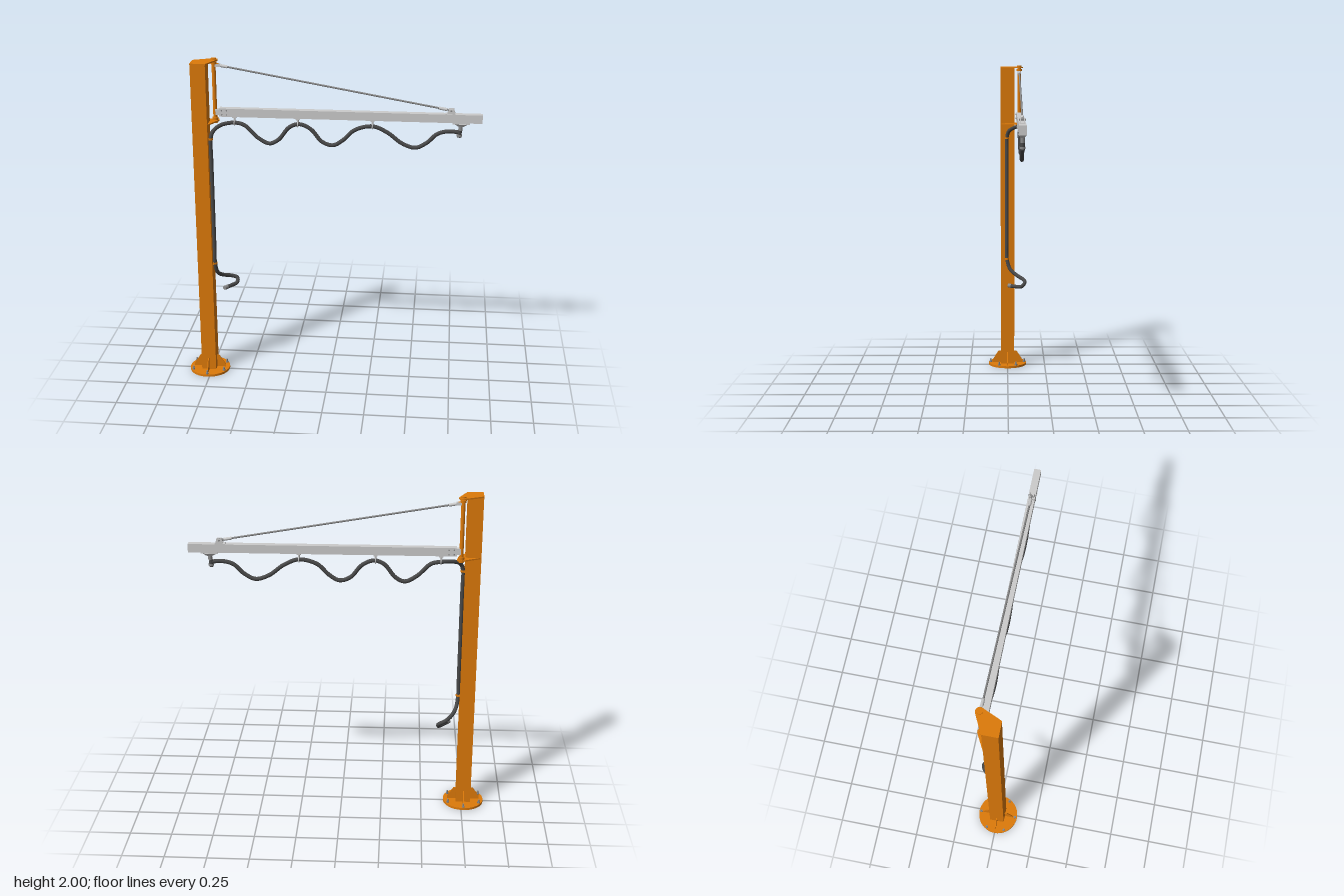
import * as THREE from 'three';

const paint = new THREE.MeshStandardMaterial({ color: 0xdd7a0a });
const steel = new THREE.MeshStandardMaterial({ color: 0xcccccc });
const darkSteel = new THREE.MeshStandardMaterial({ color: 0x888888 });
const rubber = new THREE.MeshStandardMaterial({ color: 0x484848 });

const COL_X = -0.765, COL_W = 0.09, PIVOT_X = -0.692, BOOM_Z = -0.076;

export function createModel() {
  const model = new THREE.Group();

  const add = (name, geo, mat, x = 0, y = 0, z = 0, parent = model) => {
    const m = new THREE.Mesh(geo, mat);
    m.name = name;
    m.position.set(x, y, z);
    parent.add(m);
    return m;
  };
  const box = (name, mat, w, h, d, x, y, z, parent) =>
    add(name, new THREE.BoxGeometry(w, h, d), mat, x, y, z, parent);
  const cyl = (name, mat, r, h, x, y, z, parent, sides = 20) =>
    add(name, new THREE.CylinderGeometry(r, r, h, sides), mat, x, y, z, parent);
  const polygon = pts => new THREE.Shape(pts.map(p => new THREE.Vector2(...p)));
  const extrude = (shape, depth) =>
    new THREE.ExtrudeGeometry(shape, { depth, bevelEnabled: false, curveSegments: 16 });
  // Cylinder between two points
  const rod = (name, mat, r, a, b, sides = 14) => {
    const dir = b.clone().sub(a);
    const m = cyl(name, mat, r, dir.length(), 0, 0, 0, model, sides);
    m.position.copy(a).addScaledVector(dir, 0.5);
    m.quaternion.setFromUnitVectors(new THREE.Vector3(0, 1, 0), dir.normalize());
    return m;
  };
  const v = (x, y, z = BOOM_Z) => new THREE.Vector3(x, y, z);

  // Base plate, gussets and anchor bolts
  const base = new THREE.Group();
  base.name = 'base';
  base.position.set(COL_X, 0, 0);
  model.add(base);
  cyl('basePlate', paint, 0.125, 0.014, 0, 0.007, 0, base, 40);
  const gussetShape = polygon([[0.04, 0.012], [0.1, 0.012], [0.1, 0.03], [0.06, 0.092], [0.04, 0.092]]);
  for (let i = 0; i < 4; i++) {
    const g = new THREE.Group();
    g.rotation.y = i * Math.PI / 2;
    base.add(g);
    add('gusset', extrude(gussetShape, 0.006), paint, 0, 0, -0.003, g);
  }
  for (let i = 0; i < 6; i++) {
    const a = i * Math.PI / 3, x = Math.sin(a) * 0.112, z = Math.cos(a) * 0.112;
    cyl('anchorNut', darkSteel, 0.009, 0.01, x, 0.018, z, base, 6);
    cyl('anchorBolt', darkSteel, 0.005, 0.024, x, 0.025, z, base, 10);
  }

  // Column
  box('column', paint, COL_W, 1.976, COL_W, COL_X, 0.999, 0);

  // Cap and lower bracket plates, reaching out to the pivot
  const plateGeometry = grow => {
    const e = COL_W / 2 + grow;
    const s = new THREE.Shape();
    s.moveTo(COL_X - e, -e);
    s.lineTo(COL_X + e, -e);
    s.lineTo(PIVOT_X + 0.022, -BOOM_Z - 0.012);
    s.absarc(PIVOT_X, -BOOM_Z, 0.025, -0.5, Math.PI / 2 + 0.4, false);
    s.lineTo(COL_X - e, e);
    s.closePath();
    const g = extrude(s, 0.008);
    g.rotateX(-Math.PI / 2);
    return g;
  };
  add('columnCap', plateGeometry(0.001), paint, 0, 1.985, 0);
  add('lowerBracket', plateGeometry(-0.002), paint, 0, 1.619, 0);

  // Pivot post with end collars
  cyl('pivotPost', paint, 0.012, 0.36, PIVOT_X, 1.806, BOOM_Z);
  for (const y of [1.634, 1.972]) cyl('pivotCollar', paint, 0.018, 0.014, PIVOT_X, y, BOOM_Z);
  for (const y of [1.613, 1.996]) cyl('pivotNut', paint, 0.016, 0.008, PIVOT_X, y, BOOM_Z);

  // Hollow boom rail, slotted along the underside
  const w = 0.02, h = 0.05, t = 0.004, slot = 0.008;
  const rail = polygon([
    [-w, 0], [-slot, 0], [-slot, t], [-w + t, t], [-w + t, h - t], [w - t, h - t],
    [w - t, t], [slot, t], [slot, 0], [w, 0], [w, h], [-w, h],
  ]);
  const railGeo = extrude(rail, 1.553);
  railGeo.rotateY(Math.PI / 2);
  add('boomRail', railGeo, steel, -0.665, 1.65, BOOM_Z);
  box('boomEndStop', steel, 0.004, h - 2 * t, 2 * (w - t), 0.882, 1.675, BOOM_Z);
  box('boomHinge', steel, 0.05, 0.036, 0.026, -0.664, 1.675, BOOM_Z);
  for (const x of [-0.65, -0.62])
    for (const y of [1.662, 1.688]) {
      const b = cyl('hingeBolt', darkSteel, 0.004, 0.05, x, y, BOOM_Z, model, 8);
      b.rotation.x = Math.PI / 2;
    }

  // Tie rod with clevis ends
  const a = v(-0.665, 1.958), b = v(0.7, 1.722);
  const along = k => a.clone().lerp(b, k);
  rod('tieRod', darkSteel, 0.0055, a, b);
  rod('upperTurnbuckle', steel, 0.009, along(0.005), along(0.04));
  rod('lowerTurnbuckle', steel, 0.009, along(0.95), along(0.985));
  for (const s of [-1, 1]) {
    box('upperClevis', steel, 0.032, 0.016, 0.004, -0.668, 1.958, BOOM_Z + s * 0.009);
    add('lowerClevis', extrude(polygon([[-0.025, 0], [0.025, 0], [0.015, 0.032], [-0.015, 0.032]]), 0.004),
      steel, 0.705, 1.699, BOOM_Z + s * 0.011 - 0.002);
  }
  box('upperLug', paint, 0.03, 0.02, 0.012, -0.678, 1.958, BOOM_Z);
  box('lowerClevisFoot', steel, 0.06, 0.005, 0.034, 0.7, 1.7015, BOOM_Z);
  cyl('lowerClevisPin', darkSteel, 0.005, 0.036, 0.705, 1.721, BOOM_Z).rotation.x = Math.PI / 2;

  // Hose trolleys
  for (const x of [-0.577, -0.198, 0.245]) {
    box('trolley', steel, 0.024, 0.008, 0.026, x, 1.645, BOOM_Z);
    cyl('trolleyStem', steel, 0.006, 0.03, x, 1.632, BOOM_Z, model, 12);
    const ring = add('hoseClip', new THREE.TorusGeometry(0.0145, 0.003, 8, 20), steel, x, 1.61, BOOM_Z);
    ring.rotation.y = Math.PI / 2;
  }

  // End carriage and outlet elbow
  box('endCarriage', steel, 0.1, 0.008, 0.034, 0.765, 1.646, BOOM_Z);
  add('swivelCone', new THREE.CylinderGeometry(0.046, 0.02, 0.016, 24), steel, 0.765, 1.634, BOOM_Z)
    .scale.z = 0.5;
  cyl('outletStem', darkSteel, 0.012, 0.03, 0.762, 1.615, BOOM_Z);
  cyl('outletNozzle', rubber, 0.013, 0.042, 0.757, 1.581, BOOM_Z);
  cyl('outletCollar', darkSteel, 0.016, 0.012, 0.757, 1.572, BOOM_Z);

  // Hose: tail loop, riser along the column, then waves under the boom
  const path = new THREE.CatmullRomCurve3([
    v(-0.655, 0.558, -0.012), v(-0.622, 0.558, -0.055), v(-0.594, 0.563, -0.09),
    v(-0.594, 0.587, -0.112), v(-0.63, 0.602, -0.105), v(-0.675, 0.625, -0.06),
    v(-0.7, 0.66, -0.018), v(-0.71, 0.73, 0.004), v(-0.71, 0.85, 0.005), v(-0.71, 1.15, 0.005),
    v(-0.71, 1.42, 0.005), v(-0.71, 1.53, 0.004), v(-0.695, 1.575, -0.008), v(-0.655, 1.602, -0.045),
    v(-0.58, 1.61), v(-0.52, 1.597), v(-0.44, 1.522), v(-0.37, 1.487), v(-0.315, 1.512),
    v(-0.25, 1.59), v(-0.19, 1.612), v(-0.12, 1.582), v(-0.055, 1.508), v(0.01, 1.487),
    v(0.07, 1.52), v(0.14, 1.585), v(0.245, 1.611), v(0.335, 1.575), v(0.42, 1.512),
    v(0.5, 1.487), v(0.565, 1.518), v(0.63, 1.577), v(0.7, 1.594), v(0.757, 1.588),
  ], false, 'centripetal');
  add('hose', new THREE.TubeGeometry(path, 320, 0.012, 14, false), rubber);
  rod('hoseTailCap', darkSteel, 0.0135, v(-0.659, 0.558, -0.007), v(-0.644, 0.558, -0.027));

  // Hose clamps on the column
  for (const y of [0.73, 1.53]) {
    cyl('hoseClamp', paint, 0.0145, 0.012, -0.71, y, 0.004);
    box('clampFoot', paint, 0.008, 0.012, 0.036, -0.717, y, 0.004);
  }
  return model;
}
